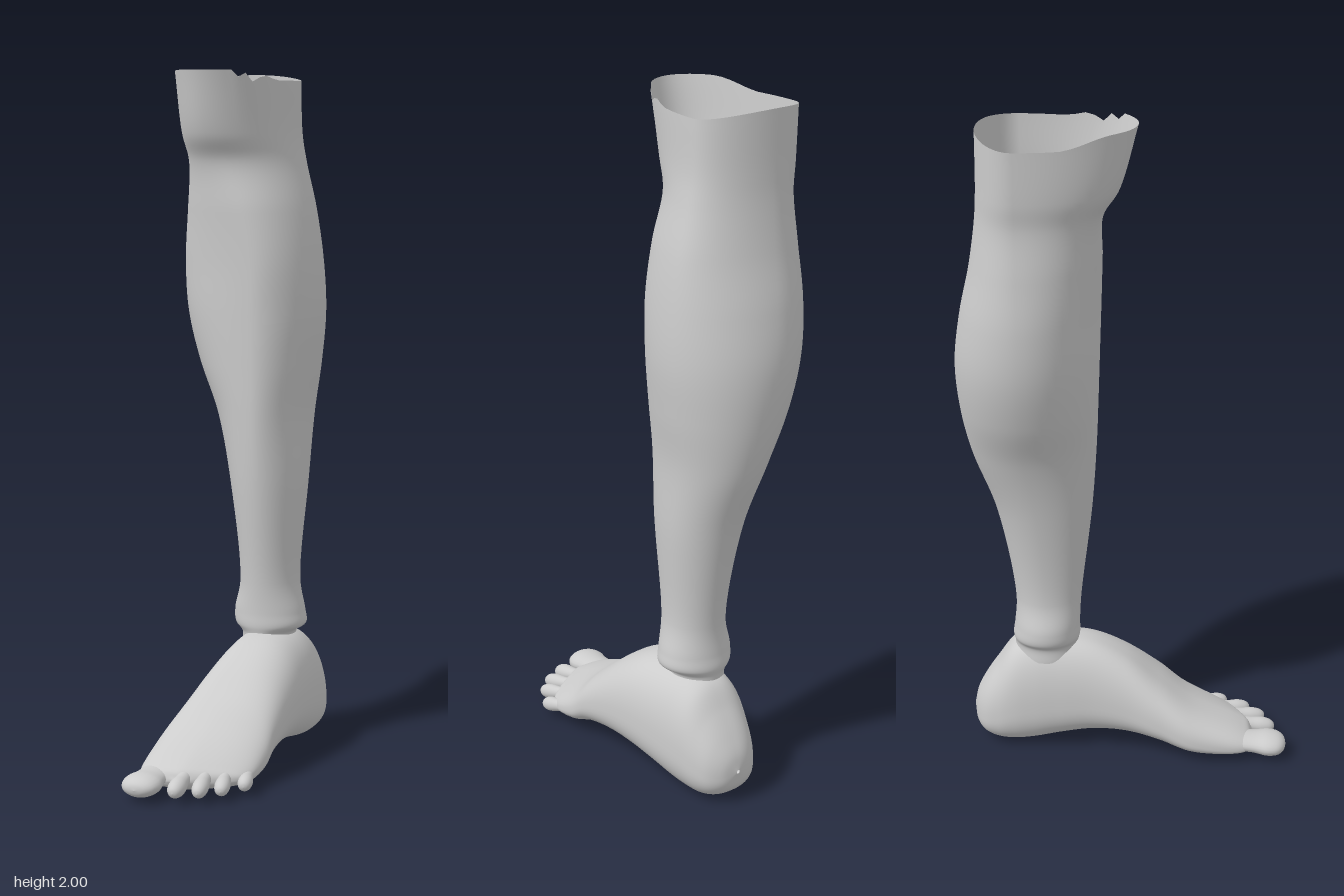
import * as THREE from 'three';

const COLS = 64;
const { lerp, smoothstep } = THREE.MathUtils;

// Point on an egg-like section: l..r across, lo..hi along, with chosen peak and widest positions.
function section(k, a, power) {
  const s = Math.sin(a), c = Math.cos(a);
  const e = 2 / power;
  const u = Math.sign(s) * Math.abs(s) ** e;
  const v = Math.abs(c) ** e;
  const peak = c > 0 ? k.peakHi : k.peakLo;
  return [
    peak + (u > 0 ? k.r - peak : peak - k.l) * u,
    k.mid + (c > 0 ? k.hi - k.mid : k.lo - k.mid) * v,
  ];
}

// Smooth skin through key sections; place(key, angle, column) gives each key point.
function loft(keys, place, rows) {
  const pos = [], index = [];
  const columns = Array.from({ length: COLS }, (_, j) => {
    const a = (j / COLS) * Math.PI * 2;
    return new THREE.CatmullRomCurve3(keys.map((k) => place(k, a, j))).getPoints(rows);
  });
  for (let i = 0; i <= rows; i++) {
    for (let j = 0; j < COLS; j++) {
      pos.push(...columns[j][i].toArray());
      if (i === rows) continue;
      const n = (j + 1) % COLS;
      const a = i * COLS + j, b = i * COLS + n, c = a + COLS, d = b + COLS;
      index.push(a, b, c, b, d, c);
    }
  }
  const g = new THREE.BufferGeometry();
  g.setAttribute('position', new THREE.Float32BufferAttribute(pos, 3));
  g.setIndex(index);
  g.computeVertexNormals();
  return g;
}

// Open shank with a kneecap bulge and a chipped rim
function shankGeometry() {
  // y, left, right, back, front
  const keys = [
    [0.3, -0.02, 0.14, -0.335, -0.145],
    [0.345, -0.02, 0.138, -0.335, -0.145],
    [0.37, -0.042, 0.17, -0.34, -0.14],
    [0.41, -0.045, 0.167, -0.335, -0.14],
    [0.5, -0.026, 0.15, -0.33, -0.135],
    [0.8, -0.06, 0.165, -0.38, -0.1],
    [1, -0.11, 0.169, -0.445, -0.086],
    [1.15, -0.173, 0.188, -0.473, -0.08],
    [1.3, -0.213, 0.201, -0.481, -0.075],
    [1.45, -0.222, 0.195, -0.462, -0.07],
    [1.6, -0.21, 0.175, -0.43, -0.065],
    [1.74, -0.197, 0.143, -0.41, -0.06],
    [1.82, -0.206, 0.13, -0.405, -0.015],
    [1.97, -0.215, 0.125, -0.403, 0.035],
  ].map(([y, l, r, lo, hi]) => ({
    y, l, r, lo, hi,
    peakHi: lerp(0.06, -0.05, smoothstep(y, 1.45, 1.82)),
    peakLo: lerp(0.06, -0.06, smoothstep(y, 0.6, 1.8)),
    mid: lerp(-0.24, -0.295, smoothstep(y, 0.6, 1.1)),
  }));
  const rim = keys[keys.length - 1];
  const chips = { 6: -0.02, 7: -0.008, 8: -0.03, 9: -0.012 };
  return loft(keys, (k, a, j) => {
    const [x, z] = section(k, a, 2);
    const c = Math.cos(a);
    const rise = c > 0 ? 0.03 * smoothstep(c, 0.35, 0.8) : 0.018 * c * c;
    return new THREE.Vector3(x, k === rim ? k.y + rise + (chips[j] || 0) : k.y, z);
  }, 120);
}

// Foot body from the toe line back to the heel
function footGeometry() {
  // z, left, right, sole, top
  const keys = [
    [0.385, 0.04, 0.06, 0.044, 0.05],
    [0.372, -0.08, 0.18, 0.025, 0.072],
    [0.345, -0.095, 0.205, 0.014, 0.088],
    [0.2, -0.107, 0.216, 0.012, 0.155],
    [0.1, -0.085, 0.216, 0.034, 0.225],
    [0, -0.06, 0.216, 0.044, 0.298],
    [-0.1, -0.046, 0.216, 0.04, 0.343],
    [-0.2, -0.043, 0.211, 0.023, 0.356],
    [-0.28, -0.042, 0.205, 0.006, 0.354],
    [-0.34, -0.038, 0.198, 0, 0.33],
    [-0.39, -0.026, 0.186, 0.005, 0.262],
    [-0.43, -0.005, 0.165, 0.022, 0.2],
    [-0.455, 0.03, 0.13, 0.05, 0.15],
    [-0.465, 0.075, 0.085, 0.095, 0.105],
  ].map(([z, l, r, lo, hi]) => ({
    z, l, r, lo, hi,
    peakHi: lerp(l, r, 0.38 - 0.13 * z),
    peakLo: (l + r) / 2,
    mid: lerp(lo, hi, 0.38),
  }));
  const g = loft(keys, (k, a) => {
    const [x, y] = section(k, a, 2.4);
    // slant the toe line back toward the little toe
    const slant = 0.55 * Math.max(0, x - 0.04) * smoothstep(k.z, 0.1, 0.35);
    return new THREE.Vector3(x, y, k.z - slant);
  }, 110);
  // leave the ankle open so the hollow shank runs into the foot
  const p = g.attributes.position, old = g.index.array, kept = [];
  for (let i = 0; i < old.length; i += 3) {
    const t = [old[i], old[i + 1], old[i + 2]];
    const inside = t.every((v) => p.getY(v) > 0.2 &&
      Math.hypot((p.getX(v) - 0.057) / 0.074, (p.getZ(v) + 0.24) / 0.09) < 1);
    if (!inside) kept.push(...t);
  }
  g.setIndex(kept);
  return g;
}

// Toe with a slim neck and a rounded pad, unit length and unit radius
function toeGeometry() {
  const profile = new THREE.SplineCurve([
    [0.85, 0], [0.82, 0.3], [0.86, 0.5], [1, 0.7], [0.88, 0.87], [0.5, 0.97], [0.001, 1],
  ].map(([r, h]) => new THREE.Vector2(r, h)));
  return new THREE.LatheGeometry(profile.getPoints(24), 24);
}

export function createModel() {
  const group = new THREE.Group();
  group.name = 'lowerLeg';
  const skin = new THREE.MeshStandardMaterial({ color: 0xcccccc, side: THREE.DoubleSide });
  skin.name = 'pale grey';

  const add = (name, geometry) => {
    const mesh = new THREE.Mesh(geometry, skin);
    mesh.name = name;
    group.add(mesh);
    return mesh;
  };
  add('shank', shankGeometry());
  add('foot', footGeometry());

  // Toes: name, base, tip, half width, half height
  const toe = toeGeometry();
  [
    ['bigToe', [-0.043, 0.054, 0.3], [-0.047, 0.04, 0.485], 0.057, 0.032],
    ['secondToe', [0.045, 0.062, 0.31], [0.055, 0.034, 0.455], 0.025, 0.025],
    ['middleToe', [0.09, 0.06, 0.28], [0.117, 0.033, 0.427], 0.023, 0.024],
    ['fourthToe', [0.133, 0.057, 0.25], [0.167, 0.032, 0.382], 0.022, 0.023],
    ['littleToe', [0.18, 0.052, 0.2], [0.207, 0.031, 0.313], 0.021, 0.022],
  ].forEach(([name, from, to, w, h]) => {
    const base = new THREE.Vector3(...from);
    const dir = new THREE.Vector3(...to).sub(base);
    const mesh = add(name, toe);
    mesh.position.copy(base);
    mesh.scale.set(w, dir.length(), h);
    mesh.quaternion.setFromUnitVectors(new THREE.Vector3(0, 1, 0), dir.normalize());
  });
  return group;
}
